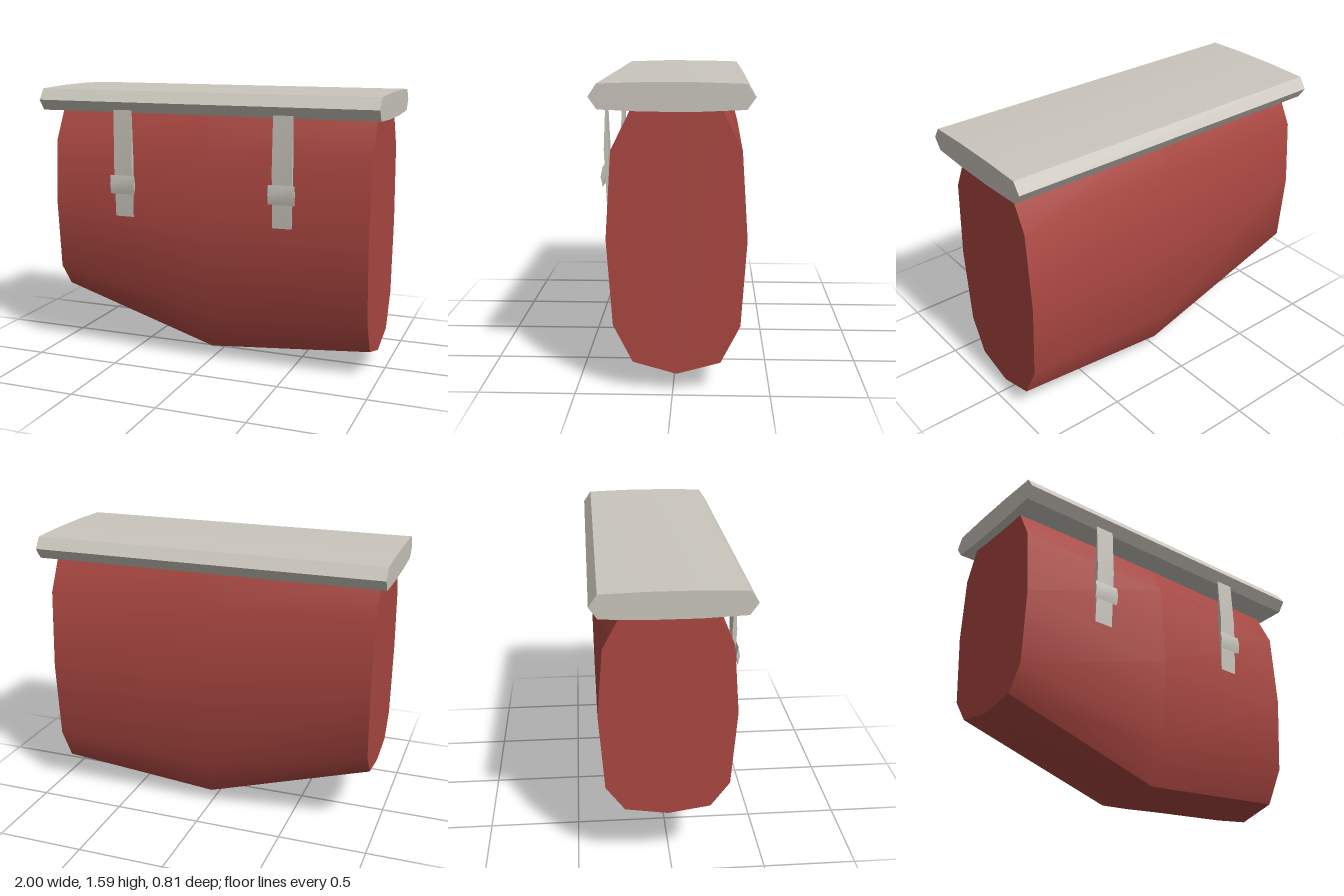
import * as THREE from 'three';
import { toCreasedNormals } from 'three/addons/utils/BufferGeometryUtils.js';

const red = new THREE.MeshStandardMaterial({ color: 0xab4741 });
red.name = 'red fabric';
const cream = new THREE.MeshStandardMaterial({ color: 0xcac6bd });
cream.name = 'cream trim';

// Prism along x from a [z, y] outline, centred on x = 0
function prism(name, outline, width, crease) {
  const shape = new THREE.Shape(outline.map(([z, y]) => new THREE.Vector2(-z, y)));
  const geo = new THREE.ExtrudeGeometry(shape, { depth: width, bevelEnabled: false });
  geo.translate(0, 0, -width / 2).rotateY(Math.PI / 2);
  const mesh = new THREE.Mesh(toCreasedNormals(geo, crease), cream);
  mesh.name = name;
  return mesh;
}

// Bag body: twelve-sided cross-sections lofted along x
function makeBody() {
  const zMid = -0.02;
  const halfDepth = [0, 0.225, 0.325, 0.355, 0.325, 0.225, 0];
  const sections = [
    { x: -0.95, y: [0.34, 0.375, 0.51, 0.92, 1.29, 1.48, 1.53] },
    { x: 0, y: [0.005, 0.08, 0.305, 0.8, 1.29, 1.5, 1.55] },
    { x: 0.95, y: [0.1, 0.163, 0.36, 0.81, 1.26, 1.46, 1.52] },
  ];
  const n = 12, pos = [], index = [];
  for (const { x, y } of sections) {
    for (let j = 0; j < n; j++) {
      const k = j <= 6 ? j : n - j;
      pos.push(x, y[k], zMid + (j <= 6 ? -1 : 1) * halfDepth[k]);
    }
  }
  for (let i = 0; i < sections.length - 1; i++) {
    for (let j = 0; j < n; j++) {
      const a = i * n + j, b = i * n + (j + 1) % n;
      index.push(a, b, a + n, b, b + n, a + n);
    }
  }
  // End panels
  const last = (sections.length - 1) * n;
  for (let j = 1; j < n - 1; j++) {
    index.push(0, j + 1, j, last, last + j, last + j + 1);
  }
  const geo = new THREE.BufferGeometry();
  geo.setAttribute('position', new THREE.Float32BufferAttribute(pos, 3));
  geo.setIndex(index);
  const mesh = new THREE.Mesh(toCreasedNormals(geo, 0.7), red);
  mesh.name = 'bagBody';
  return mesh;
}

export function createModel() {
  const model = new THREE.Group();
  model.name = 'bag';
  model.add(makeBody());

  // Lid with bevelled long edges
  model.add(prism('lid', [
    [0.405, 1.527], [0.362, 1.59], [0.13, 1.597], [-0.13, 1.597], [-0.362, 1.59],
    [-0.405, 1.527], [-0.362, 1.466], [-0.13, 1.456], [0.13, 1.456], [0.362, 1.466],
  ], 2, 0.5));

  // Two hanging straps, each with a buckle
  for (const side of [-1, 1]) {
    const group = new THREE.Group();
    group.name = side > 0 ? 'leftStrap' : 'rightStrap';
    group.add(prism('strapBand', [
      [0.372, 0.865], [0.361, 1.2], [0.372, 1.485], [0.386, 1.2],
    ], 0.113, 0.5));
    group.add(prism('buckle', [
      [0.393, 1.0], [0.384, 1.055], [0.393, 1.108], [0.403, 1.055],
    ], 0.15, 0.5));
    group.position.x = side * 0.477;
    model.add(group);
  }
  return model;
}
